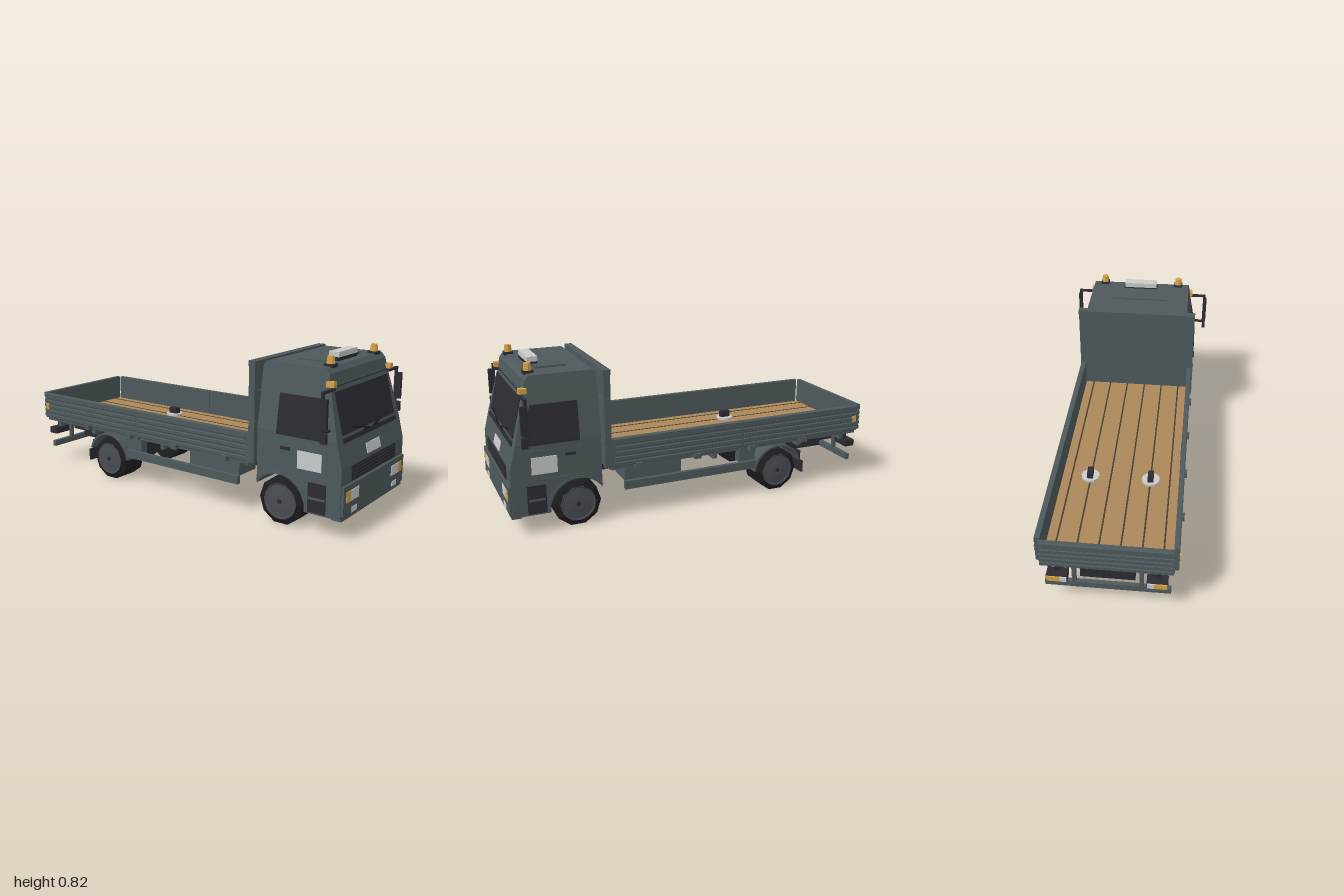
import * as THREE from 'three';

const mat = (name, color) => Object.assign(new THREE.MeshStandardMaterial({ color }), { name, flatShading: true });

export function createModel() {
  const truck = new THREE.Group();
  truck.name = 'flatbedTruck';
  const body = mat('body grey', 0x4e595c), dark = mat('dark trim', 0x2c2b33), tyre = mat('tyre black', 0x1e1e22);
  const wood = mat('wood planks', 0xab885a), groove = mat('plank gap', 0x4a3d2c), steel = mat('wheel grey', 0x494e53);
  const amber = mat('amber', 0xd6a244), pale = mat('pale lens', 0xc9cacb);

  const add = (name, geo, m, parent = truck) => {
    const mesh = new THREE.Mesh(geo, m);
    mesh.name = name;
    parent.add(mesh);
    return mesh;
  };
  // box from min/max ranges
  const box = (name, m, x0, x1, y0, y1, z0, z1, parent) => {
    const g = new THREE.BoxGeometry(Math.abs(x1 - x0), y1 - y0, z1 - z0);
    g.translate((x0 + x1) / 2, (y0 + y1) / 2, (z0 + z1) / 2);
    return add(name, g, m, parent);
  };
  // the same box on both sides
  const pair = (name, m, x0, x1, ...rest) => [1, -1].forEach(s => box(name, m, s * x0, s * x1, ...rest));
  // [z, y] outline extruded across x
  const across = (pts, x0, x1) => {
    const shape = new THREE.Shape(pts.map(p => new THREE.Vector2(...p)));
    const g = new THREE.ExtrudeGeometry(shape, { depth: x1 - x0, bevelEnabled: false });
    return g.rotateY(-Math.PI / 2).translate(x1, 0, 0);
  };
  // cab sides lean in towards the roof and slightly towards the nose
  const lean = g => {
    const p = g.attributes.position;
    for (let i = 0; i < p.count; i++) {
      const x = p.getX(i), inset = Math.max(0, p.getY(i) - 0.46) * 0.15 + (p.getZ(i) - 0.54) * 0.008;
      p.setX(i, x - Math.sign(x) * inset);
    }
    g.computeVertexNormals();
    return g;
  };
  const arc = (cz, cy, r, a0, a1, n) => Array.from({ length: n + 1 }, (_, i) => {
    const a = a0 + (a1 - a0) * i / n;
    return [cz + r * Math.cos(a), cy + r * Math.sin(a)];
  });

  // cab shell with wheel arches
  const W = 0.335;
  add('cabLower', lean(across([[0.985, 0.1], [0.985, 0.34], [0.955, 0.46], [0.54, 0.46], [0.54, 0.19],
    ...arc(0.66, 0.115, 0.142, 2.4, 0.15, 8), [0.8, 0.1]], -W, W)), body);
  add('cabUpper', lean(across([[0.955, 0.46], [0.895, 0.7], [0.885, 0.75], [0.865, 0.775], [0.553, 0.775],
    [0.54, 0.755], [0.54, 0.46]], -W, W)), body);
  box('bumper', body, -0.325, 0.325, 0.115, 0.255, 0.97, 0.997);
  box('bumperLip', body, -0.327, 0.327, 0.092, 0.108, 0.94, 0.99);
  box('bumperLine', dark, -0.324, 0.324, 0.108, 0.116, 0.97, 0.99);

  // doors: window, panel, handle, steps and seams
  for (const s of [1, -1]) {
    const sidePlate = (name, m, pts, t = 0.004) =>
      add(name, lean(s > 0 ? across(pts, W, W + t) : across(pts, -W - t, -W)), m);
    const rect = (z0, z1, y0, y1) => [[z0, y0], [z1, y0], [z1, y1], [z0, y1]];
    // the pane is split at the belt line where the side starts to lean
    sidePlate('sideWindow', dark, [[0.645, 0.46], [0.895, 0.46], [0.893, 0.58], [0.87, 0.64], [0.645, 0.64]]);
    sidePlate('sideWindowSill', dark, rect(0.645, 0.895, 0.45, 0.46));
    sidePlate('doorPanel', pale, rect(0.76, 0.885, 0.305, 0.39));
    sidePlate('doorHandle', dark, rect(0.67, 0.72, 0.382, 0.396), 0.008);
    sidePlate('doorSeam', body, rect(0.63, 0.9, 0.42, 0.424), 0.003);
    sidePlate('doorSeam', body, rect(0.63, 0.9, 0.276, 0.28), 0.003);
    sidePlate('stepRecess', dark, rect(0.82, 0.912, 0.108, 0.25));
    sidePlate('step', body, rect(0.825, 0.907, 0.172, 0.182), 0.008);
    sidePlate('archTrim', body, [...arc(0.66, 0.115, 0.155, 2.5, 0.25, 8), ...arc(0.66, 0.115, 0.142, 0.25, 2.5, 8)], 0.004);
  }

  // sloping front: local y runs up the slope from the bonnet line
  const slope = new THREE.Group();
  slope.name = 'slopingFront';
  slope.position.set(0, 0.34, 0.985);
  slope.rotation.x = -Math.atan(0.25);
  truck.add(slope);
  const up = y => (y - 0.34) * 1.031;
  const face = (name, m, x0, x1, y0, y1, t) => box(name, m, x0, x1, up(y0), up(y1), -0.002, t, slope);
  face('windscreen', dark, -0.274, 0.274, 0.476, 0.668, 0.004);
  face('windscreenTrim', dark, -0.279, 0.279, 0.442, 0.462, 0.006);
  face('frontPanel', pale, -0.071, 0.071, 0.353, 0.4, 0.004);
  face('roofSeam', dark, -0.293, 0.293, 0.688, 0.692, 0.003);
  for (const s of [1, -1]) {
    const w = box('wiper', tyre, -0.088, 0.088, -0.003, 0.003, 0.005, 0.012, slope);
    w.position.set(s * 0.108, up(0.483), 0);
    w.rotation.z = s * 0.2;
    box('wiperArm', tyre, s * 0.02, s * 0.075, up(0.463), up(0.468), 0.004, 0.011, slope);
  }

  // grille and front lamps
  box('grille', dark, -0.235, 0.235, 0.264, 0.336, 0.975, 0.989);
  for (let i = 0; i < 4; i++) box('grilleSlat', dark, -0.222, 0.222, 0.273 + i * 0.016, 0.28 + i * 0.016, 0.985, 0.994);
  pair('headlight', pale, 0.178, 0.26, 0.176, 0.228, 0.99, 1);
  pair('turnSignal', amber, 0.26, 0.3, 0.176, 0.228, 0.99, 1);
  pair('fogLight', pale, 0.192, 0.243, 0.117, 0.143, 0.99, 1);

  // roof hatch, light bar, beacons and markers
  box('roofHatch', body, -0.166, 0.166, 0.77, 0.784, 0.65, 0.805);
  box('lightBarBase', dark, -0.098, 0.098, 0.775, 0.793, 0.775, 0.825);
  box('lightBar', pale, -0.093, 0.093, 0.792, 0.818, 0.773, 0.826);
  for (const s of [1, -1]) {
    box('beaconBase', dark, s * 0.198, s * 0.246, 0.77, 0.786, 0.83, 0.876);
    add('beacon', new THREE.CylinderGeometry(0.017, 0.021, 0.036, 8).translate(s * 0.222, 0.803, 0.853), amber);
    box('markerLamp', amber, s * 0.28, s * 0.31, 0.695, 0.72, 0.88, 0.918);
    // mirror bracket and mirrors
    box('mirrorArm', dark, s * 0.28, s * 0.392, 0.679, 0.691, 0.9, 0.914);
    box('mirrorArm', dark, s * 0.3, s * 0.392, 0.501, 0.511, 0.905, 0.919);
    box('mirrorBar', dark, s * 0.378, s * 0.39, 0.5, 0.691, 0.9, 0.914);
    box('mirror', dark, s * 0.382, s * 0.4, 0.525, 0.66, 0.9, 0.935);
    box('lowerMirror', dark, s * 0.381, s * 0.398, 0.46, 0.51, 0.905, 0.935);
  }

  // headboard behind the cab
  box('headboard', body, -0.328, 0.328, 0.28, 0.765, 0.487, 0.512);
  box('headboardCap', body, -0.335, 0.335, 0.752, 0.776, 0.483, 0.522);
  pair('headboardPost', body, 0.305, 0.333, 0.28, 0.755, 0.486, 0.52);
  for (const y of [0.4, 0.62]) box('headboardRib', body, -0.33, 0.33, y, y + 0.012, 0.512, 0.52);

  // corrugated board outline [outward, y] with sloped rib edges
  const board = (inner, outer) => {
    const pts = [[inner, 0.278]], rise = 0.005;
    [0.282, 0.31, 0.338, 0.366, 0.394].forEach((y, i) => {
      const h = i === 4 ? 0.031 : 0.02;
      pts.push([outer - rise, y - 0.002], [outer, y + 0.002], [outer, y + h - 0.002], [outer - rise, y + h + 0.001]);
    });
    return [...pts, [inner, 0.425]];
  };
  // load bed: planks, dropsides and tailgate
  box('bedFrame', body, -0.312, 0.312, 0.262, 0.279, -0.968, 0.49);
  box('bedFloor', wood, -0.303, 0.303, 0.278, 0.286, -0.974, 0.487);
  for (const x of [0.052, 0.155, 0.256])
    pair('plankGap', groove, x - 0.004, x + 0.004, 0.284, 0.2875, -0.972, 0.485);
  for (const [z0, z1] of [[-0.232, 0.47], [-0.965, -0.248]]) {
    const outline = board(0.304, 0.331);
    for (const s of [1, -1]) {
      const shape = new THREE.Shape(outline.map(([x, y]) => new THREE.Vector2(s * x, y)));
      add('dropside', new THREE.ExtrudeGeometry(shape, { depth: z1 - z0, bevelEnabled: false }).translate(0, 0, z0), body);
    }
  }
  add('tailgate', across(board(0.974, 1).map(([o, y]) => [-o, y]), -0.308, 0.308), body);
  for (const z of [-0.24, 0.478]) pair('dropsidePost', body, 0.302, 0.329, 0.265, 0.425, z - 0.009, z + 0.009);
  for (const z of [0.345, 0.025, -0.295, -0.615]) pair('dropsideHinge', body, 0.31, 0.342, 0.262, 0.288, z - 0.018, z + 0.018);
  pair('sideMarker', amber, 0.32, 0.336, 0.335, 0.368, -0.957, -0.936);

  // lashing turntables on the bed
  for (const s of [1, -1]) {
    add('lashingDisc', new THREE.CylinderGeometry(0.047, 0.047, 0.014, 12).translate(s * 0.157, 0.292, -0.38), pale);
    box('lashingBlock', dark, s * 0.142, s * 0.172, 0.297, 0.332, -0.408, -0.352);
  }

  // chassis rails, crossmembers and equipment
  pair('chassisRail', dark, 0.06, 0.095, 0.182, 0.264, -0.95, 0.9);
  for (const z of [0.2, -0.1, -0.3, -0.62, -0.9]) box('crossmember', body, -0.285, 0.285, 0.225, 0.264, z - 0.012, z + 0.012);
  pair('fuelTank', body, 0.15, 0.295, 0.185, 0.264, 0.1, 0.41);
  pair('rearBracket', body, 0.25, 0.295, 0.185, 0.264, -0.335, -0.24);
  pair('sideGuard', body, 0.296, 0.318, 0.147, 0.19, -0.335, 0.415);
  box('rearCarrier', dark, -0.13, 0.13, 0.172, 0.264, -0.95, -0.61);
  box('spareCarrier', dark, -0.12, 0.12, 0.138, 0.18, -0.87, -0.64);
  box('engine', dark, -0.12, 0.12, 0.12, 0.25, 0.55, 0.9);

  // rear underride bar and lamps
  box('underrideBar', body, -0.3, 0.3, 0.1, 0.132, -0.953, -0.93);
  pair('underridePost', body, 0.15, 0.17, 0.12, 0.265, -0.952, -0.932);
  pair('lampArm', dark, 0.225, 0.25, 0.2, 0.265, -0.96, -0.935);
  pair('rearLampHousing', dark, 0.185, 0.285, 0.172, 0.208, -0.99, -0.935);
  pair('rearTurnSignal', amber, 0.22, 0.282, 0.176, 0.204, -0.996, -0.988);
  pair('reverseLamp', pale, 0.188, 0.22, 0.176, 0.204, -0.996, -0.988);

  // wheels, axles, rear mudguards and flaps
  const lathe = (pts, n) => new THREE.LatheGeometry(pts.map(p => new THREE.Vector2(...p)), n);
  const tyreGeo = lathe([[0.001, -0.075], [0.12, -0.075], [0.12, 0.063], [0.093, 0.079], [0.09, 0.07]], 10);
  const rimGeo = lathe([[0.09, 0.07], [0.088, 0.077], [0.08, 0.073], [0.03, 0.078], [0.001, 0.078]], 20);
  const hubGeo = new THREE.CylinderGeometry(0.012, 0.012, 0.012, 8).translate(0, 0.078, 0);
  for (const z of [0.66, -0.465]) {
    box('axle', dark, -0.2, 0.2, 0.09, 0.14, z - 0.025, z + 0.025);
    for (const s of [1, -1]) {
      const wheel = new THREE.Group();
      wheel.name = z > 0 ? 'frontWheel' : 'rearWheel';
      wheel.position.set(s * 0.24, 0.1145, z);
      wheel.rotation.z = -s * Math.PI / 2;
      add('tyre', tyreGeo, tyre, wheel);
      add('rim', rimGeo, steel, wheel);
      add('hub', hubGeo, dark, wheel);
      truck.add(wheel);
    }
  }
  add('differential', new THREE.CylinderGeometry(0.055, 0.055, 0.08, 8).rotateX(Math.PI / 2).translate(0, 0.109, -0.465), dark);
  add('driveShaft', new THREE.CylinderGeometry(0.018, 0.018, 1.05, 8).rotateX(Math.PI / 2).translate(0, 0.165, 0.08), dark);
  const guard = [...arc(-0.465, 0.115, 0.147, 0.1, Math.PI - 0.3, 10), ...arc(-0.465, 0.115, 0.136, Math.PI - 0.3, 0.1, 10)];
  add('mudguard', across(guard, 0.16, 0.322), body);
  add('mudguard', across(guard, -0.322, -0.16), body);
  pair('mudflap', dark, 0.19, 0.3, 0.07, 0.135, -0.642, -0.632);
  pair('mudflapBracket', dark, 0.22, 0.27, 0.13, 0.185, -0.642, -0.632);
  return truck;
}
